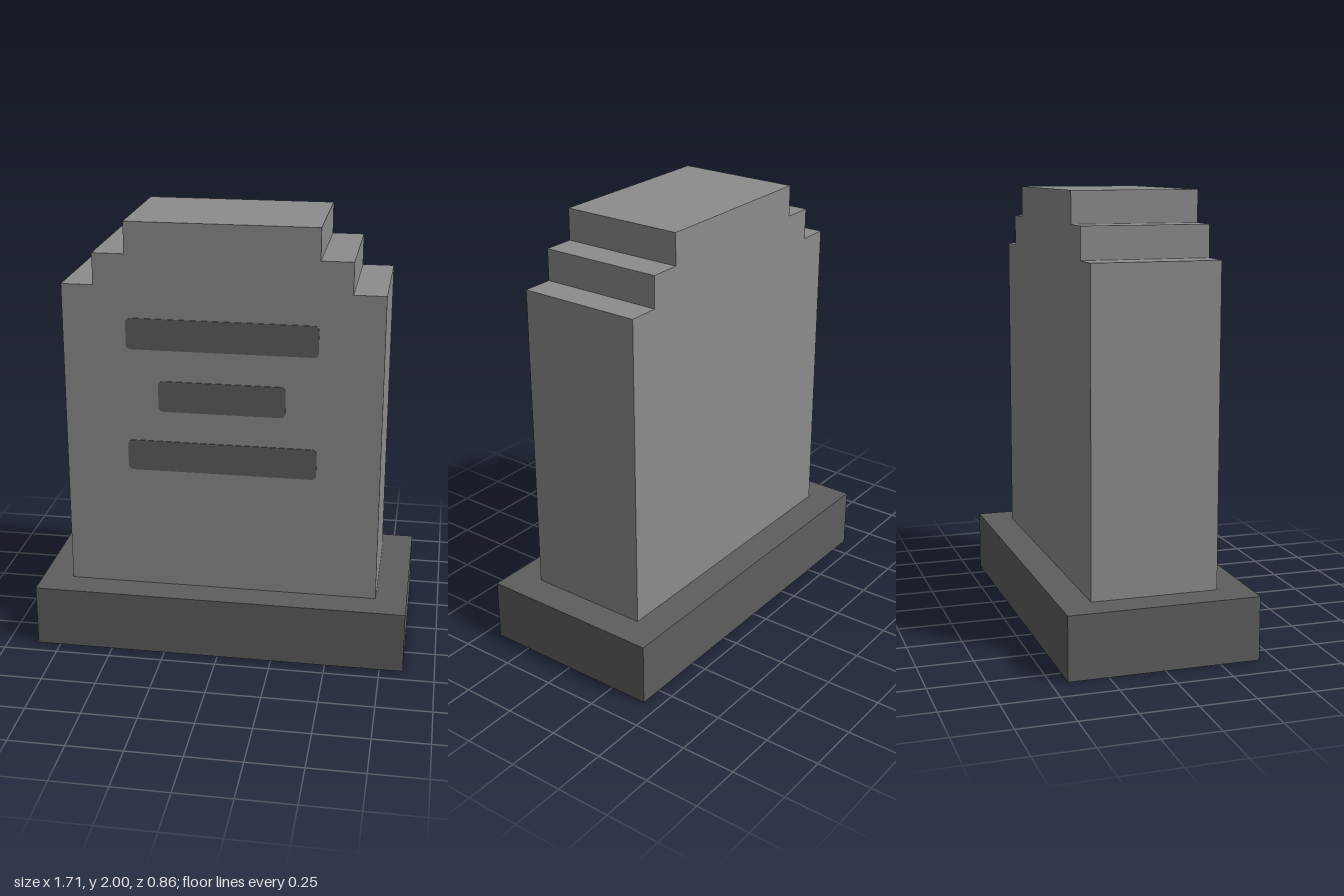
import * as THREE from 'three';

const U = 1 / 7; // all sizes follow a grid of sevenths

const lightStone = new THREE.MeshStandardMaterial({ color: 0x8c8c8c });
lightStone.name = 'lightStone';
const darkStone = new THREE.MeshStandardMaterial({ color: 0x5e5e5e });
darkStone.name = 'darkStone';

function addMesh(group, name, geometry, material) {
  const mesh = new THREE.Mesh(geometry, material);
  mesh.name = name;
  group.add(mesh);
  return mesh;
}

// Shape symmetric about x = 0, from its right-hand outline (bottom to top)
function mirroredShape(half) {
  const left = half.map(([x, y]) => [-x, y]).reverse();
  return new THREE.Shape([...half, ...left].map(([x, y]) => new THREE.Vector2(x, y)));
}

function extrude(shape, depth) {
  return new THREE.ExtrudeGeometry(shape, { depth, bevelEnabled: false, curveSegments: 4 });
}

// Inscription bar with small rounded corners
function barShape(w, h, r) {
  const x = w / 2, y = h / 2;
  const s = new THREE.Shape();
  s.absarc(x - r, y - r, r, 0, Math.PI / 2);
  s.absarc(-x + r, y - r, r, Math.PI / 2, Math.PI);
  s.absarc(-x + r, -y + r, r, Math.PI, Math.PI * 1.5);
  s.absarc(x - r, -y + r, r, Math.PI * 1.5, Math.PI * 2);
  return s;
}

export function createModel() {
  const model = new THREE.Group();
  model.name = 'gravestone';

  // Plinth
  const base = addMesh(model, 'base', new THREE.BoxGeometry(12 * U, 2 * U, 6 * U), darkStone);
  base.position.y = U;

  // Upright slab with stepped shoulders
  const outline = [[5, 2], [5, 12], [4, 12], [4, 13], [3, 13], [3, 14]]
    .map(([x, y]) => [x * U, y * U]);
  const slab = addMesh(model, 'slab', extrude(mirroredShape(outline), 4 * U), lightStone);
  slab.position.z = -2 * U;

  // Inscription bars on the front face: [width, centre height]
  const bars = new THREE.Group();
  bars.name = 'inscription';
  model.add(bars);
  [[6, 10.5], [4, 8.5], [6, 6.5]].forEach(([w, y], i) => {
    const bar = addMesh(bars, `inscriptionBar${i + 1}`, extrude(barShape(w * U, U, 0.022), 0.004), darkStone);
    bar.position.set(0, y * U, 2 * U);
  });

  return model;
}
